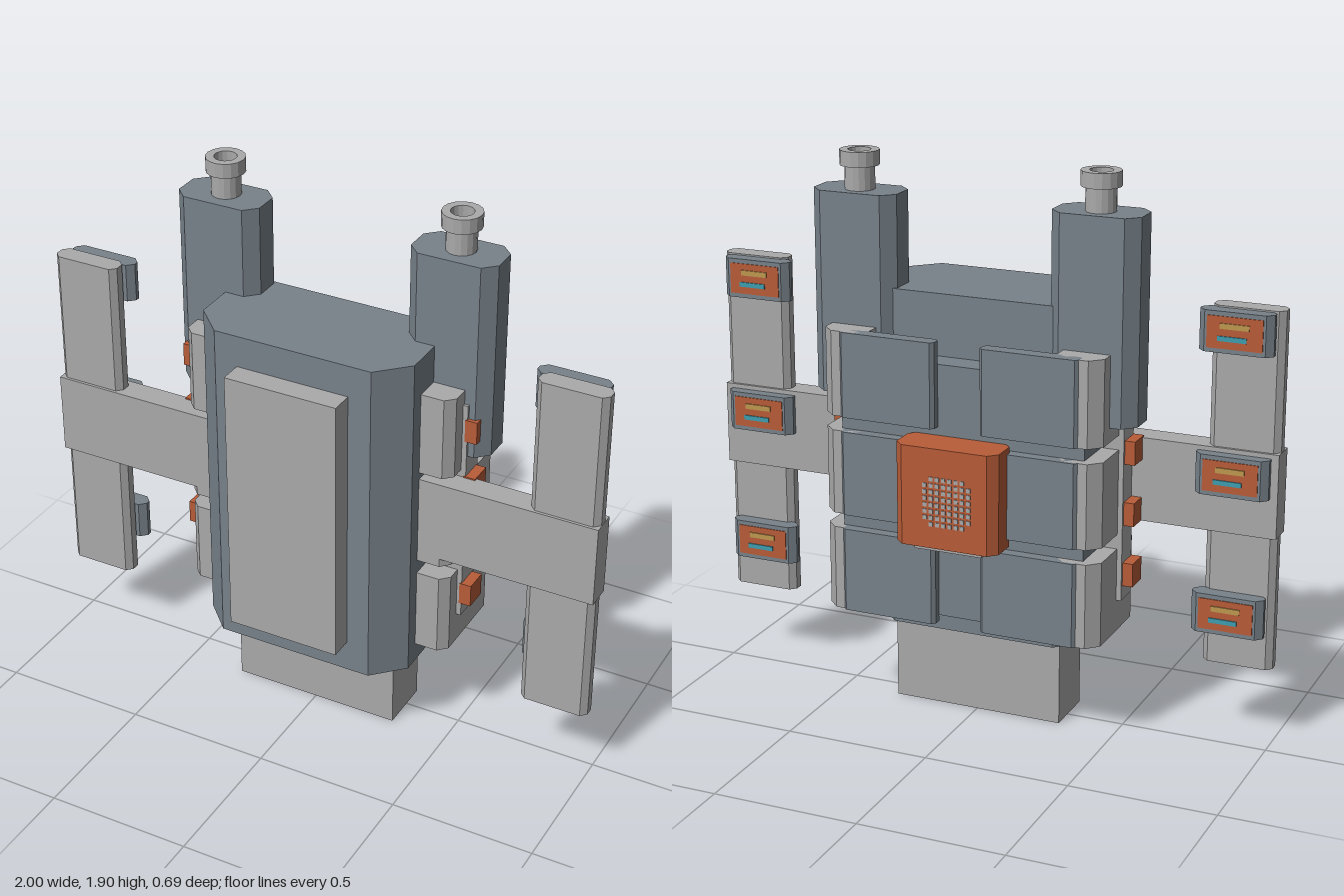
import * as THREE from 'three';

const paint = (name, color) => {
  const m = new THREE.MeshStandardMaterial({ color });
  m.name = name;
  return m;
};

export function createModel() {
  const root = new THREE.Group();
  root.name = 'armouredPack';
  const light = paint('lightGrey', 0xaaaaab);
  const dark = paint('slateGrey', 0x78828a);
  const orange = paint('rustOrange', 0xb85c38);
  const tan = paint('tan', 0xbf9850);
  const teal = paint('teal', 0x3f9db0);

  const add = (name, geo, mat) => {
    const mesh = new THREE.Mesh(geo, mat);
    mesh.name = name;
    root.add(mesh);
    return mesh;
  };
  // Box given by its limits on each axis
  const box = (name, mat, x0, x1, y0, y1, z0, z1) => {
    const g = new THREE.BoxGeometry(Math.abs(x1 - x0), y1 - y0, z1 - z0);
    g.translate((x0 + x1) / 2, (y0 + y1) / 2, (z0 + z1) / 2);
    return add(name, g, mat);
  };
  // Upright prism with chamfered back (cb) and front (cf) corners
  const prism = (name, mat, x0, x1, y0, y1, z0, z1, cb, cf = cb) => {
    const w = Math.abs(x1 - x0) / 2;
    const pts = [[-w + cb, z0], [w - cb, z0], [w, z0 + cb], [w, z1 - cf],
      [w - cf, z1], [-w + cf, z1], [-w, z1 - cf], [-w, z0 + cb]];
    const shape = new THREE.Shape(pts.map(([x, z]) => new THREE.Vector2(x, -z)));
    const g = new THREE.ExtrudeGeometry(shape, { depth: y1 - y0, bevelEnabled: false });
    g.rotateX(-Math.PI / 2).translate((x0 + x1) / 2, y0, 0);
    return add(name, g, mat);
  };

  // Central body
  prism('body', dark, -0.38, 0.38, 0.29, 1.46, -0.12, 0.26, 0.09, 0.1);
  box('frontPlate', light, -0.2, 0.2, 0.4, 1.35, 0.25, 0.34);
  box('base', light, -0.3, 0.3, 0, 0.3, -0.08, 0.11);
  box('backCore', dark, -0.43, 0.43, 0.38, 1.25, -0.21, 0.02);

  // Orange unit on the back, with a dotted grille
  prism('backUnit', orange, -0.18, 0.18, 0.67, 1.01, -0.345, -0.2, 0.03);
  box('backUnitFoot', light, -0.12, 0.12, 0.65, 0.68, -0.315, -0.2);
  for (let r = 0; r < 8; r++) {
    for (let c = 0; c < 8; c++) {
      const x = (c - 3.5) * 0.022 - 0.01;
      const y = 0.83 + (r - 3.5) * 0.022;
      if (Math.hypot(x + 0.01, y - 0.83) > 0.098) continue;
      box('grilleDot', light, x - 0.007, x + 0.007, y - 0.007, y + 0.007, -0.348, -0.34);
    }
  }

  // Nozzle on each tower: neck, wide rim and sunken hole
  const nozzle = [[0.05, 1.76], [0.05, 1.85], [0.066, 1.85], [0.066, 1.9],
    [0.038, 1.9], [0.038, 1.85], [0, 1.85]].map(([x, y]) => new THREE.Vector2(x, y));

  for (const s of [-1, 1]) {
    // Towers
    prism('tower', dark, s * 0.27, s * 0.57, 1.09, 1.77, -0.15, 0.02, 0.042);
    const geo = new THREE.LatheGeometry(nozzle, 16).toNonIndexed();
    geo.computeVertexNormals();
    add('nozzle', geo, light).position.set(s * 0.42, 0, -0.07);

    // Three rows of side clamps and back plates
    for (const [y0, y1] of [[0.36, 0.65], [0.7, 0.99], [1.04, 1.33]]) {
      prism('sideClamp', light, s * 0.33, s * 0.49, y0, y1, -0.24, 0.11, 0.04, 0.03);
      prism('backPlate', dark, s * 0.08, s * 0.42, y0, y1, -0.25, -0.2, 0.012);
    }

    // Side rail with orange studs
    box('sideRail', light, s * 0.4, s * 0.507, 0.47, 1.28, -0.06, 0.03);
    for (let i = 0; i < 4; i++) {
      const y = 0.52 + i * 0.21;
      box('railStud', orange, s * 0.5, s * 0.542, y, y + 0.08, -0.05, 0.033);
    }

    // Wing arm and upright panel
    box('wingArm', light, s * 0.37, s * 1.0, 0.73, 1.015, 0.02, 0.11);
    prism('wingPanel', light, s * 0.76, s * 0.998, 0.27, 1.48, 0.03, 0.1, 0.02);

    // Pods on the back of each panel
    for (const y of [0.39, 0.865, 1.34]) {
      prism('pod', dark, s * 0.73, s * 0.975, y, y + 0.135, -0.02, 0.04, 0.022);
      const x = s * 0.8525;
      box('podFace', orange, x - 0.092, x + 0.092, y + 0.015, y + 0.12, -0.023, -0.015);
      box('podTanStripe', tan, x - 0.048, x + 0.048, y + 0.08, y + 0.098, -0.027, -0.02);
      box('podTealStripe', teal, x - 0.04, x + 0.055, y + 0.04, y + 0.056, -0.027, -0.02);
    }
  }
  return root;
}
